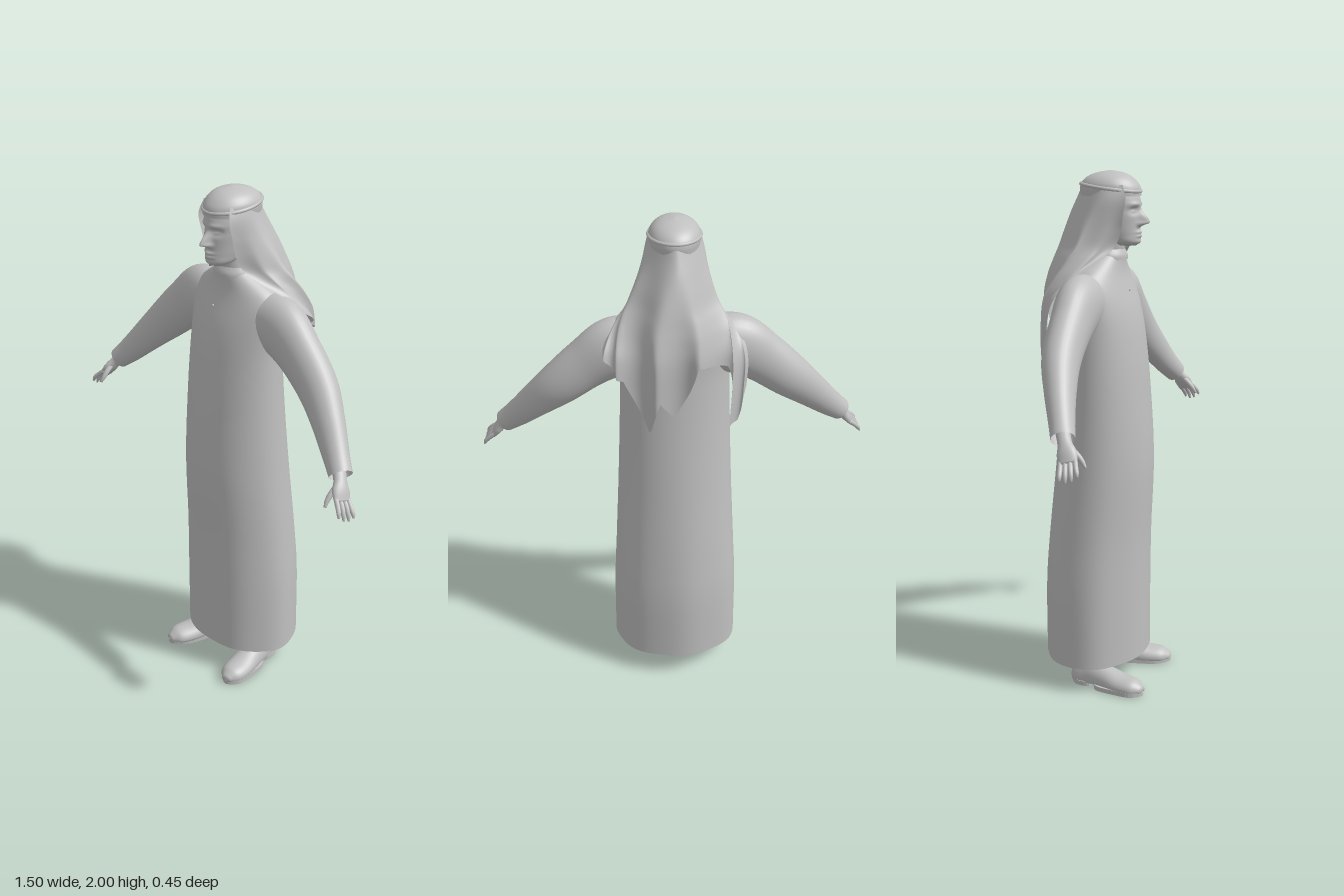
import * as THREE from 'three';

const V = (x, y, z) => new THREE.Vector3(x, y, z);
const grey = new THREE.MeshStandardMaterial({ color: 0xc0c0c0, side: THREE.DoubleSide });
grey.name = 'plain grey';

function mesh(name, geometry, parent) {
  const m = new THREE.Mesh(geometry, grey);
  m.name = name;
  parent.add(m);
  return m;
}

// Smooth interpolation of table rows [t, a, b, ...]
function lookup(table, t) {
  const n = table.length;
  let i = 0;
  while (i < n - 2 && t > table[i + 1][0]) i++;
  const p = table[i], q = table[i + 1], h = q[0] - p[0];
  const s = Math.min(1, Math.max(0, (t - p[0]) / h));
  const slope = (k, c) => {
    const a = table[Math.max(0, k - 1)], b = table[Math.min(n - 1, k + 1)];
    return (b[c] - a[c]) / (b[0] - a[0]);
  };
  return p.slice(1).map((v, j) => {
    const c = j + 1, s2 = s * s, s3 = s2 * s;
    return (2 * s3 - 3 * s2 + 1) * v + (s3 - 2 * s2 + s) * h * slope(i, c)
      + (3 * s2 - 2 * s3) * q[c] + (s3 - s2) * h * slope(i + 1, c);
  });
}

// Skin over rings of points, optionally closed around and capped
function loft(rings, { closed = true, capStart = false, capEnd = false } = {}) {
  const n = rings[0].length, pos = [], idx = [];
  rings.forEach(r => r.forEach(p => pos.push(p.x, p.y, p.z)));
  for (let i = 0; i < rings.length - 1; i++) {
    for (let j = 0; j < (closed ? n : n - 1); j++) {
      const k = (j + 1) % n, a = i * n + j, b = a + n, c = i * n + k, d = c + n;
      idx.push(a, b, c, c, b, d);
    }
  }
  const cap = (row, flip) => {
    const mid = rings[row].reduce((s, p) => s.add(p), V(0, 0, 0)).divideScalar(n);
    const m = pos.length / 3;
    pos.push(mid.x, mid.y, mid.z);
    for (let j = 0; j < n; j++) {
      const a = row * n + j, b = row * n + (j + 1) % n;
      idx.push(m, flip ? b : a, flip ? a : b);
    }
  };
  if (capStart) cap(0, false);
  if (capEnd) cap(rings.length - 1, true);
  const g = new THREE.BufferGeometry();
  g.setAttribute('position', new THREE.Float32BufferAttribute(pos, 3));
  g.setIndex(idx);
  g.computeVertexNormals();
  return g;
}

// Horizontal rings from rows [y, halfWidth, frontZ, backZ]
function stack(table, rows, around, caps, shape = p => p) {
  const y0 = table[0][0], y1 = table[table.length - 1][0];
  const rings = Array.from({ length: rows + 1 }, (_, i) => {
    const y = y0 + (y1 - y0) * i / rows, [w, f, b] = lookup(table, y);
    return Array.from({ length: around }, (_, j) => {
      const a = j / around * Math.PI * 2;
      return shape(V(w * Math.cos(a), y, (f + b) / 2 + (f - b) / 2 * Math.sin(a)), a);
    });
  });
  return loft(rings, caps);
}

// Elliptical sweep through sections [x, y, z, radius, radiusAlongRef]
function sweep(sections, ref, { steps = 20, around = 20, caps = { capStart: true, capEnd: true }, shape = p => p } = {}) {
  const path = new THREE.CatmullRomCurve3(sections.map(s => V(s[0], s[1], s[2])));
  const radii = sections.map((s, i) => [i / (sections.length - 1), s[3], s[4]]);
  const rings = Array.from({ length: steps + 1 }, (_, i) => {
    const t = i / steps, c = path.getPoint(t), T = path.getTangent(t);
    const B = ref.clone().addScaledVector(T, -ref.dot(T)).normalize();
    const A = T.clone().cross(B), [ra, rb] = lookup(radii, t);
    return Array.from({ length: around }, (_, j) => {
      const a = j / around * Math.PI * 2;
      return shape(c.clone().addScaledVector(A, ra * Math.cos(a)).addScaledVector(B, rb * Math.sin(a)));
    });
  });
  return loft(rings, caps);
}

const bump = (d, s) => Math.exp(-d * d / (s * s));

// Long robe with soft folds, open at the hem
const robeTable = [
  [0.1, 0.25, 0.18, -0.222], [0.4, 0.247, 0.18, -0.222], [0.6, 0.237, 0.183, -0.208], [0.9, 0.222, 0.193, -0.178],
  [1.2, 0.21, 0.175, -0.148], [1.4, 0.205, 0.152, -0.132], [1.5, 0.21, 0.13, -0.128], [1.57, 0.212, 0.105, -0.122],
  [1.62, 0.185, 0.088, -0.108], [1.655, 0.135, 0.082, -0.085], [1.685, 0.085, 0.082, -0.058], [1.695, 0.074, 0.082, -0.045]];

function addRobe(g) {
  mesh('robe', stack(robeTable, 64, 72, {}, (p, a) => {
    const low = Math.max(0, 1 - p.y / 1.2), k = 1 + 0.012 * low * Math.sin(7 * a + 1);
    return V(p.x * k, p.y + 0.018 * Math.sin(a) ** 2 * Math.max(0, 1 - p.y / 0.4), p.z * k);
  }), g);
  mesh('collar', stack([[1.672, 0.082, 0.092, -0.06], [1.69, 0.079, 0.091, -0.055], [1.712, 0.068, 0.08, -0.045]],
    6, 40, {}), g);
  // Chest opening: a slim strip following the front of the robe
  const strip = [0, 1, 2, 3, 4, 5, 6].map(i => {
    const y = 1.575 + i * 0.016, z = lookup(robeTable, y)[1] + 0.003;
    return [V(-0.02, y, z), V(-0.012, y, z)];
  });
  mesh('placket', loft(strip, { closed: false }), g);
  const button = mesh('button', new THREE.SphereGeometry(0.005, 10, 8), g);
  button.position.set(-0.016, 1.56, lookup(robeTable, 1.56)[1]);
}

// Head with modelled face
function addHead(g) {
  mesh('neck', sweep([[0, 1.62, 0.01, 0.06, 0.06], [0, 1.7, 0.03, 0.05, 0.054], [0, 1.78, 0.04, 0.05, 0.055]],
    V(1, 0, 0)), g);
  mesh('head', stack([[1.725, 0.03, 0.125, 0.05], [1.738, 0.05, 0.141, 0.02], [1.765, 0.062, 0.142, -0.02],
    [1.8, 0.071, 0.142, -0.05], [1.85, 0.079, 0.143, -0.07], [1.9, 0.08, 0.141, -0.08], [1.95, 0.07, 0.115, -0.07],
    [1.98, 0.04, 0.07, -0.03]], 70, 96, { capStart: true, capEnd: true }, (p, a) => {
    if (Math.sin(a) <= 0) return p;
    const { x, y } = p, ax = Math.abs(x);
    const ridge = y > 1.812 ? bump(y - 1.812, 0.035) : bump(y - 1.812, 0.011);
    p.z += 0.04 * ridge * bump(x, 0.012) + 0.012 * bump(y - 1.806, 0.009) * bump(ax - 0.013, 0.008)
      - 0.013 * bump(y - 1.855, 0.013) * bump(ax - 0.032, 0.018)
      + 0.007 * bump(y - 1.853, 0.007) * bump(ax - 0.032, 0.012)
      + 0.006 * bump(y - 1.878, 0.009) * bump(ax - 0.03, 0.025)
      + 0.009 * (bump(y - 1.775, 0.006) + bump(y - 1.761, 0.006)) * bump(x, 0.022)
      + 0.005 * bump(y - 1.737, 0.012) * bump(x, 0.02);
    return p;
  }), g);
}

// Head cloth: rows [y, edgeX, edgeZ, sideX, sideZ, backZ], hem height across from right to left
const drapeTable = [[1.2, 0.25, -0.14, 0.19, -0.17, -0.19], [1.4, 0.265, -0.135, 0.2, -0.17, -0.205],
  [1.54, 0.265, -0.105, 0.2, -0.16, -0.212], [1.62, 0.215, -0.03, 0.195, -0.12, -0.203],
  [1.68, 0.14, 0.035, 0.178, -0.08, -0.19], [1.72, 0.095, 0.07, 0.158, -0.055, -0.18],
  [1.78, 0.085, 0.095, 0.135, -0.035, -0.16], [1.84, 0.088, 0.105, 0.115, -0.012, -0.135],
  [1.9, 0.085, 0.115, 0.1, 0.01, -0.105], [1.95, 0.072, 0.1, 0.086, 0.02, -0.082]];
const hem = [[-1, 1.4], [-0.78, 1.25], [-0.66, 1.24], [-0.45, 1.5], [-0.2, 1.53], [0, 1.3], [0.1, 1.38],
  [0.25, 1.23], [0.42, 1.46], [0.7, 1.5], [1, 1.56]];

function hemAt(u) {
  let i = 0;
  while (i < hem.length - 2 && u > hem[i + 1][0]) i++;
  return THREE.MathUtils.mapLinear(u, hem[i][0], hem[i + 1][0], hem[i][1], hem[i + 1][1]);
}

function addHeadCloth(g) {
  const cols = 100, rows = 44;
  const grid = Array.from({ length: rows + 1 }, (_, i) => Array.from({ length: cols + 1 }, (_, j) => {
    const u = j / cols * 2 - 1, y = THREE.MathUtils.lerp(1.95, hemAt(u), i / rows);
    const [xe, ze, xs, zs, zb] = lookup(drapeTable, y);
    const p = new THREE.CatmullRomCurve3([V(-xe, y, ze), V(-xs, y, zs), V(0, y, zb), V(xs, y, zs), V(xe, y, ze)])
      .getPoint((u + 1) / 2);
    const loose = THREE.MathUtils.smoothstep(1.92 - y, 0, 0.4) * (1 - u ** 4);
    p.z += 0.017 * loose * Math.cos(u * 17 + 0.6);
    p.x += 0.012 * loose * Math.sin(u * 17) + 0.012 * THREE.MathUtils.smoothstep(1.9 - y, 0, 0.2);
    return p;
  }));
  mesh('headClothDrape', loft(grid, { closed: false }), g);
  mesh('headClothCrown', stack([[1.908, 0.091, 0.145, -0.088], [1.935, 0.093, 0.143, -0.09], [1.955, 0.089, 0.132, -0.084],
    [1.978, 0.07, 0.108, -0.06], [1.993, 0.04, 0.076, -0.022], [2, 0.006, 0.035, 0.022]], 24, 48, { capEnd: true }), g);
  const ring = Array.from({ length: 24 }, (_, i) => {
    const a = i / 24 * Math.PI * 2;
    return V(0.092 * Math.cos(a), 1.938 - 0.014 * Math.sin(a), 0.028 + 0.114 * Math.sin(a));
  });
  mesh('headBand', new THREE.TubeGeometry(new THREE.CatmullRomCurve3(ring, true), 64, 0.007, 8, true), g);
}

// Sleeve, hand and fingers of one side
function addArm(g) {
  const Z = V(0, 0, 1);
  mesh('sleeve', sweep([[0.13, 1.53, -0.015, 0.1, 0.085], [0.22, 1.51, -0.018, 0.118, 0.083], [0.32, 1.445, -0.014, 0.1, 0.074],
    [0.43, 1.35, -0.004, 0.085, 0.069], [0.52, 1.26, 0.028, 0.068, 0.057], [0.6, 1.175, 0.065, 0.053, 0.047],
    [0.652, 1.125, 0.09, 0.043, 0.043]], Z, { steps: 36, around: 32, caps: { capStart: true } }), g);
  mesh('palm', sweep([[0.62, 1.155, 0.075, 0.024, 0.027], [0.66, 1.112, 0.1, 0.02, 0.026], [0.68, 1.083, 0.115, 0.019, 0.036],
    [0.7, 1.052, 0.126, 0.012, 0.035]], Z), g);
  const across = V(-0.2, 0.28, 0.94);
  for (let k = 0; k < 4; k++) {
    const off = (k - 1.5) * 0.018, tip = [0.006, 0, 0, 0.005][k];
    const at = (x, y, z, spread, r) => {
      const p = V(x, y, z).addScaledVector(across, off * spread);
      return [p.x, p.y, p.z, r, r];
    };
    mesh('finger', sweep([at(0.69, 1.065, 0.122, 0.95, 0.009), at(0.718, 1.04, 0.133, 1.05, 0.009),
      at(0.732, 1.018 + tip, 0.139, 1.15, 0.008), at(0.738, 0.998 + tip * 2, 0.142, 1.2, 0.004)],
    Z, { steps: 10, around: 10 }), g);
  }
  mesh('thumb', sweep([[0.668, 1.1, 0.12, 0.012, 0.014], [0.664, 1.075, 0.148, 0.011, 0.011],
    [0.664, 1.055, 0.165, 0.009, 0.009], [0.667, 1.035, 0.178, 0.005, 0.005]], V(1, 0, 0), { steps: 12, around: 12 }), g);
}

// Shoe with sole and heel, and lower leg of one side
function addFoot(g) {
  mesh('leg', sweep([[0.125, 0.06, -0.03, 0.042, 0.04], [0.125, 0.2, -0.03, 0.045, 0.043], [0.12, 0.5, -0.02, 0.06, 0.058]],
    V(1, 0, 0)), g);
  mesh('shoeUpper', sweep([[0.122, 0.03, -0.082, 0.03, 0.02], [0.125, 0.03, -0.065, 0.07, 0.04], [0.13, 0.03, -0.01, 0.075, 0.046],
    [0.145, 0.03, 0.06, 0.057, 0.05], [0.162, 0.025, 0.13, 0.042, 0.056], [0.176, 0.022, 0.19, 0.036, 0.048],
    [0.183, 0.02, 0.226, 0.014, 0.018]], V(1, 0, 0), {
    steps: 32, around: 28, shape: p => p.setY(Math.max(0.014, p.y)) }), g);
  const slab = (name, outline) => {
    const shape = new THREE.Shape(new THREE.CatmullRomCurve3(outline.map(([x, z]) => V(x, -z, 0)), true)
      .getPoints(32).map(p => new THREE.Vector2(p.x, p.y)));
    mesh(name, new THREE.ExtrudeGeometry(shape, { depth: 0.018, bevelEnabled: false }).rotateX(-Math.PI / 2), g);
  };
  slab('shoeSole', [[0.1, 0.03], [0.106, 0.12], [0.13, 0.19], [0.182, 0.228], [0.22, 0.19], [0.218, 0.12], [0.192, 0.03]]);
  slab('shoeHeel', [[0.085, -0.06], [0.086, 0], [0.13, 0.008], [0.173, 0], [0.166, -0.06], [0.124, -0.084]]);
}

export function createModel() {
  const model = new THREE.Group();
  model.name = 'robedMan';
  addRobe(model);
  addHead(model);
  addHeadCloth(model);
  for (const side of [1, -1]) {
    const limbs = new THREE.Group();
    limbs.name = side > 0 ? 'leftLimbs' : 'rightLimbs';
    addArm(limbs);
    addFoot(limbs);
    limbs.scale.x = side;
    model.add(limbs);
  }
  return model;
}
